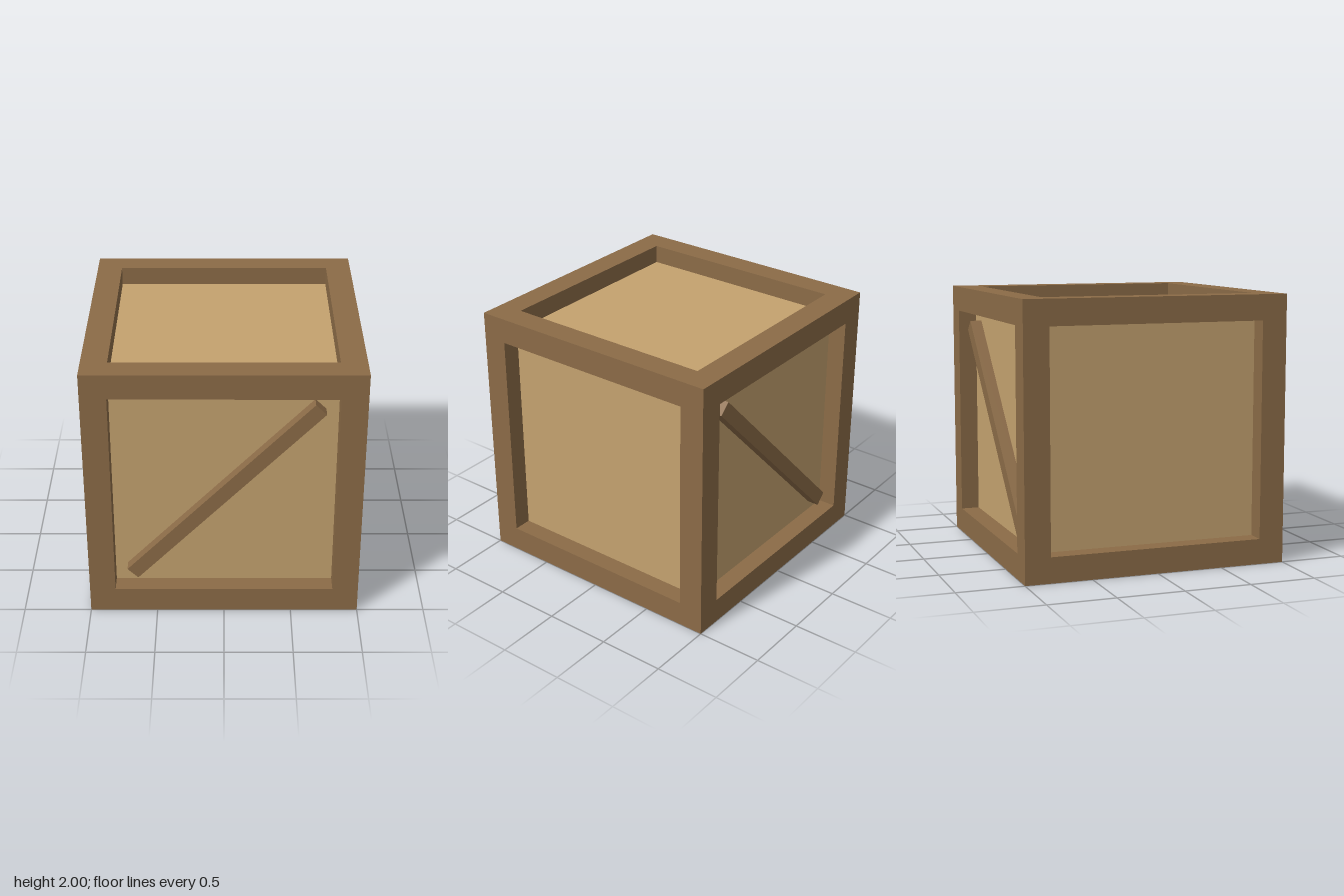
import * as THREE from 'three';

const SIZE = 2;       // outer edge of the crate
const BEAM = 0.19;    // frame beam thickness
const RECESS = 0.14;  // how far the panels sit behind the frame

export function createModel() {
  const frameWood = new THREE.MeshStandardMaterial({ color: 0x8b6b47 });
  frameWood.name = 'dark frame wood';
  const panelWood = new THREE.MeshStandardMaterial({ color: 0xc4a26f });
  panelWood.name = 'light panel wood';

  const crate = new THREE.Group();
  crate.name = 'crate';

  const addBox = (name, parent, size, position, material) => {
    const mesh = new THREE.Mesh(new THREE.BoxGeometry(...size), material);
    mesh.name = name;
    mesh.position.set(...position);
    parent.add(mesh);
    return mesh;
  };

  // Light core whose six faces are the recessed panels
  const core = SIZE - 2 * RECESS;
  addBox('panels', crate, [core, core, core], [0, SIZE / 2, 0], panelWood);

  // Twelve frame beams: posts run full height, rails fit between them
  const frame = new THREE.Group();
  frame.name = 'frame';
  crate.add(frame);
  const offset = (SIZE - BEAM) / 2;
  const span = SIZE - 2 * BEAM;
  const mid = SIZE / 2;
  for (const a of [-offset, offset]) {
    for (const b of [-offset, offset]) {
      addBox('cornerPost', frame, [BEAM, SIZE, BEAM], [a, mid, b], frameWood);
      addBox('crossRail', frame, [span, BEAM, BEAM], [0, mid + a, b], frameWood);
      addBox('sideRail', frame, [BEAM, BEAM, span], [a, mid + b, 0], frameWood);
    }
  }

  // Diagonal braces on the front and back, both rising toward +x
  for (const [name, z] of [['frontBrace', 0.895], ['backBrace', -0.895]]) {
    const brace = addBox(name, crate, [1.95, 0.11, 0.11], [0, mid, z], frameWood);
    brace.rotation.z = 0.8;
  }

  return crate;
}
